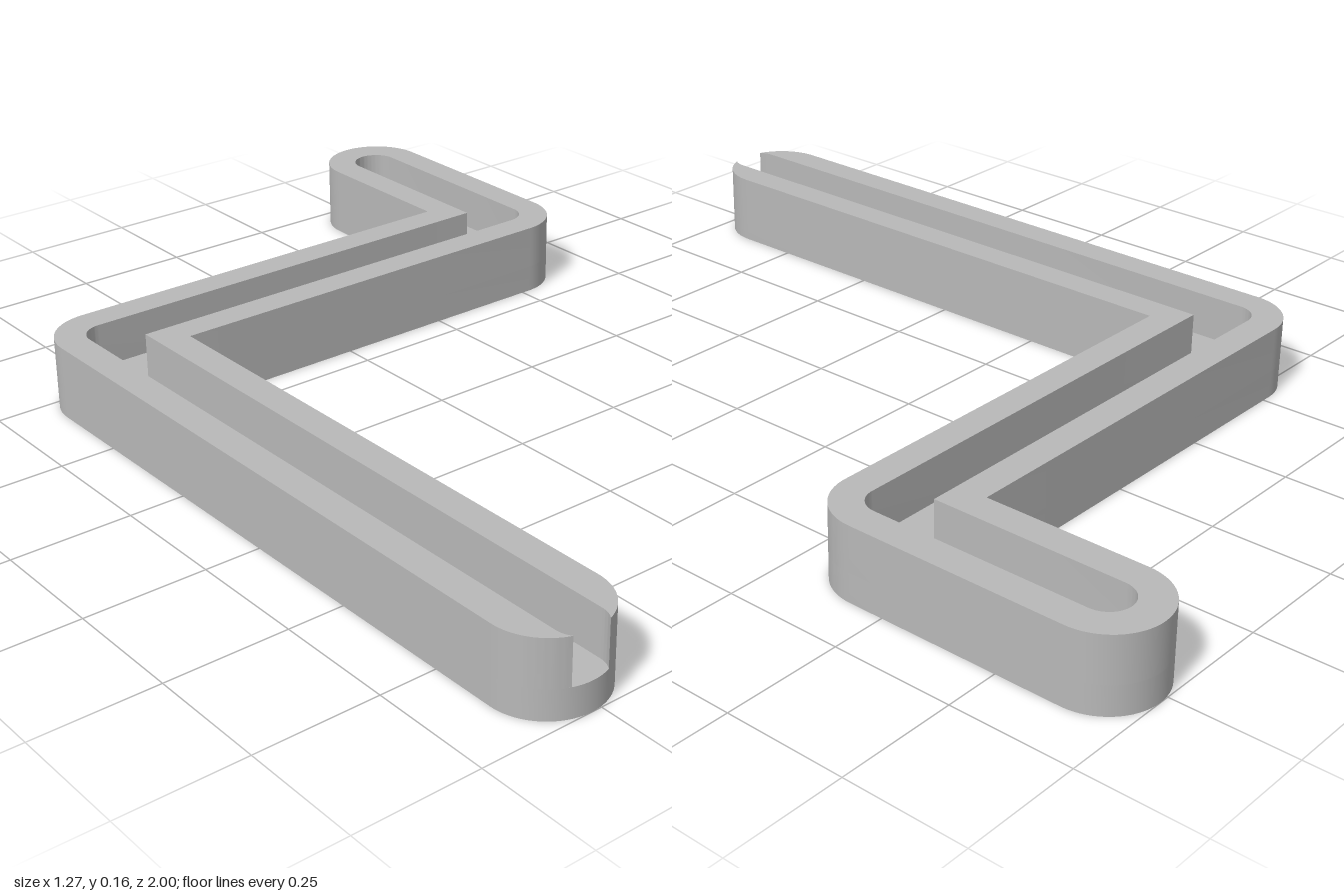
import * as THREE from 'three';
import { toCreasedNormals } from 'three/addons/utils/BufferGeometryUtils.js';

const HEIGHT = 0.155, FLOOR = 0.06;
const X = 0.52, BEND = 0.425, END = 0.885; // centreline of the Z-shaped path
const OUTER = 0.115, INNER = 0.05, MOUTH = 0.04;

// Points on an arc, angles in radians
function arc(cx, cy, r, from, to, n = 20) {
  return Array.from({ length: n + 1 }, (_, i) => {
    const a = from + ((to - from) * i) / n;
    return new THREE.Vector2(cx + r * Math.cos(a), cy + r * Math.sin(a));
  });
}

// Outline of the path widened by r: round ends and outer bends, sharp inner bends.
// It starts and stops at the front end, leaving a mouth of half-angle gap.
function outline(r, frontY, gap) {
  const q = Math.PI / 2;
  return [
    ...arc(-X, frontY, r, -q + gap, 0),
    new THREE.Vector2(-X + r, BEND - r),
    ...arc(X, BEND, r, -q, 0),
    ...arc(X, END, r, 0, 2 * q, 32),
    new THREE.Vector2(X - r, BEND + r),
    ...arc(-X, BEND, r, q, 2 * q),
    ...arc(-X, frontY, r, 2 * q, 3 * q - gap),
  ];
}

// Upright prism from a ground outline
function prism(name, points, y, height, material) {
  const raw = new THREE.ExtrudeGeometry(new THREE.Shape(points), { depth: height, bevelEnabled: false });
  raw.rotateX(-Math.PI / 2);
  const mesh = new THREE.Mesh(toCreasedNormals(raw, 0.5), material);
  mesh.name = name;
  mesh.position.y = y;
  return mesh;
}

export function createModel() {
  const group = new THREE.Group();
  group.name = 'zigzagChannel';
  const grey = new THREE.MeshStandardMaterial({ color: 0xb8b8b8 });
  grey.name = 'grey';

  // Solid base, whose top is the channel floor
  group.add(prism('base', outline(OUTER, -END, 0).slice(0, -1), 0, FLOOR, grey));

  // Walls around the channel; its round front end breaks through the outer cap
  const outerGap = Math.asin(MOUTH / OUTER), innerGap = Math.asin(MOUTH / INNER);
  const mouthY = -END - OUTER * Math.cos(outerGap);
  const outside = outline(OUTER, -END, outerGap);
  const inside = outline(INNER, mouthY + INNER * Math.cos(innerGap), innerGap).reverse();
  // The two outlines meet at both mouth corners, so drop the repeats
  group.add(prism('walls', [...outside, ...inside.slice(1, -1)], FLOOR, HEIGHT - FLOOR, grey));

  return group;
}
